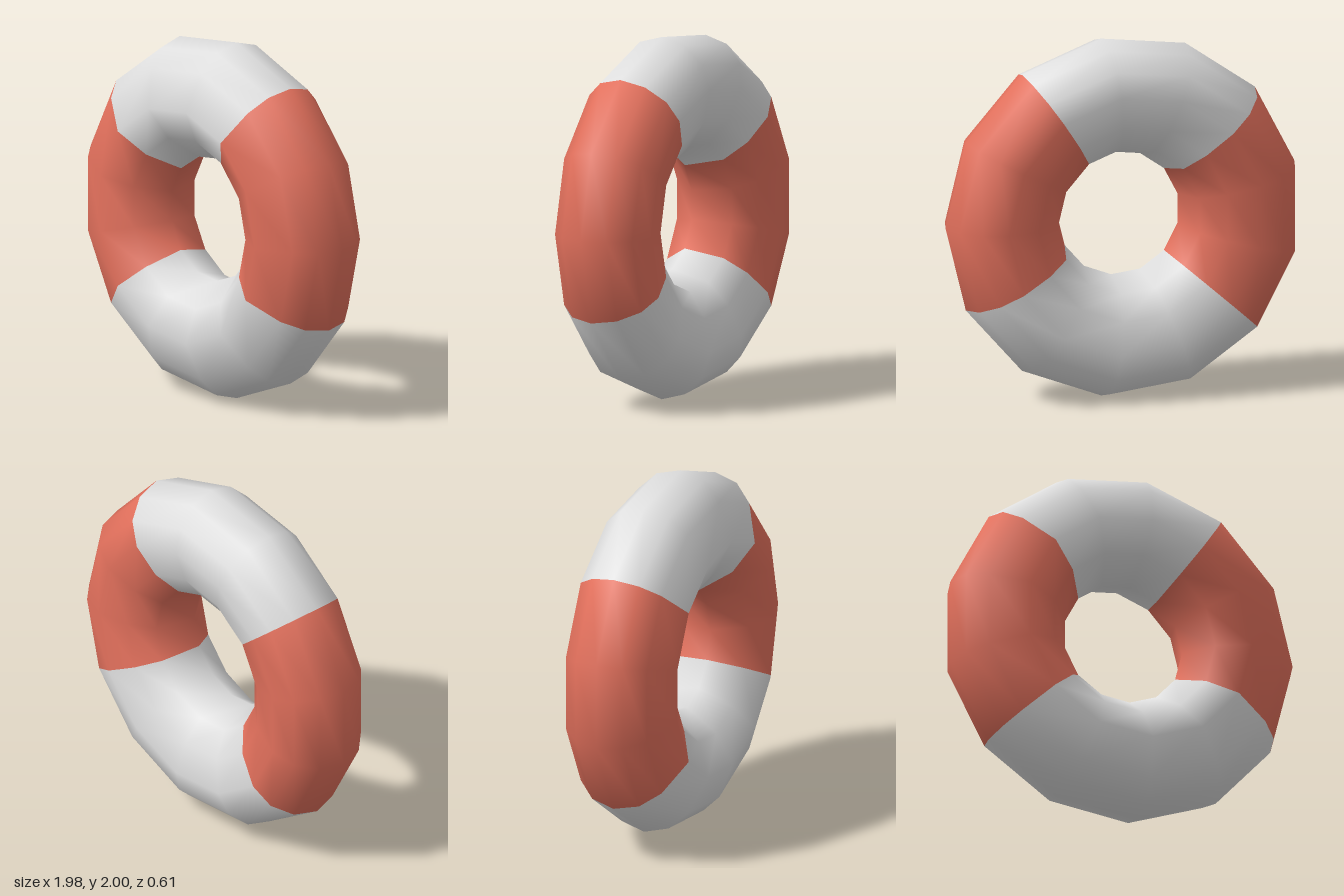
import * as THREE from 'three';

const white = new THREE.MeshStandardMaterial({ color: 0xdedede });
white.name = 'white';
const red = new THREE.MeshStandardMaterial({ color: 0xe2705c });
red.name = 'coral red';

const SEGMENTS = 13;
const CENTRE = new THREE.Vector2(-0.0147, 1);
const RED_SEGMENTS = [12, 0, 1, 5, 6, 7];

// Tube cross-section as [radius from ring centre, z]: outer rim, front, hole, back
const PROFILE = [
  [1.007, -0.024], [0.968, 0.115], [0.868, 0.216], [0.655, 0.305],
  [0.476, 0.217], [0.346, 0.05],
  [0.41, -0.165], [0.545, -0.26], [0.73, -0.305], [0.868, -0.268], [0.968, -0.165],
];

// Sweep the cross-section round the ring, one material group per segment
function ringGeometry() {
  const n = PROFILE.length;
  const positions = [];
  const indices = [];
  const geometry = new THREE.BufferGeometry();
  for (let i = 0; i < SEGMENTS; i++) {
    const angle = (i / SEGMENTS) * Math.PI * 2;
    for (const [r, z] of PROFILE) {
      positions.push(CENTRE.x + r * Math.cos(angle), CENTRE.y + r * Math.sin(angle), z);
    }
    const next = (i + 1) % SEGMENTS;
    for (let j = 0; j < n; j++) {
      const k = (j + 1) % n;
      const a = i * n + j, b = next * n + j, c = next * n + k, d = i * n + k;
      indices.push(a, b, c, a, c, d);
    }
    geometry.addGroup(i * n * 6, n * 6, RED_SEGMENTS.includes(i) ? 1 : 0);
  }
  geometry.setAttribute('position', new THREE.Float32BufferAttribute(positions, 3));
  geometry.setIndex(indices);
  geometry.computeVertexNormals();
  return geometry;
}

export function createModel() {
  const model = new THREE.Group();
  model.name = 'lifebuoy';
  const ring = new THREE.Mesh(ringGeometry(), [white, red]);
  ring.name = 'stripedRing';
  model.add(ring);
  return model;
}
